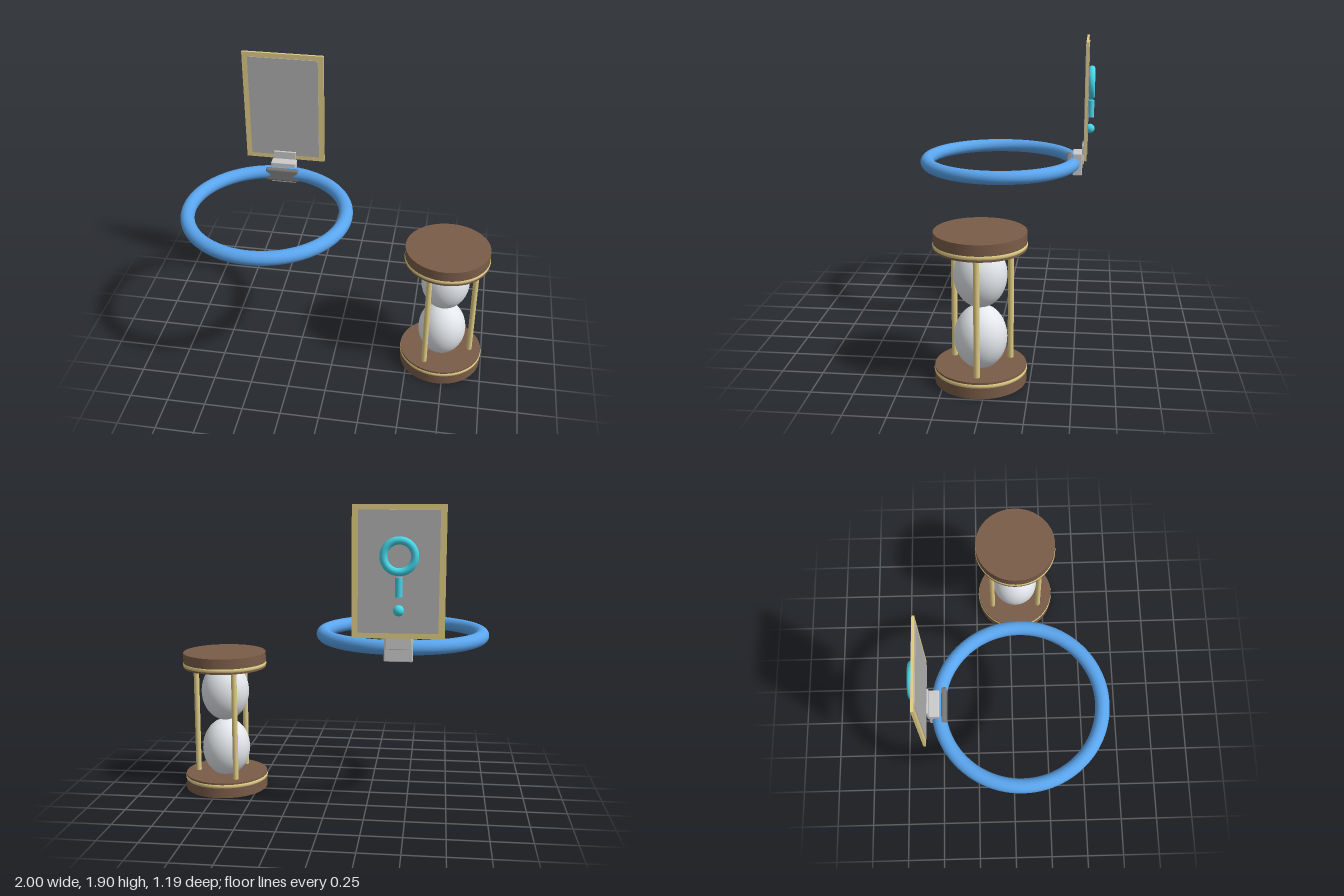
import * as THREE from 'three';
import { RoundedBoxGeometry } from 'three/addons/geometries/RoundedBoxGeometry.js';

const mat = (color) => new THREE.MeshStandardMaterial({ color });

export function createModel() {
  const wood = mat(0x7a5c48), gold = mat(0xe0cc85), glass = mat(0xe4e8ec);
  const blue = mat(0x5aa5ee), cyan = mat(0x45d8ea), grey = mat(0xcccccc);
  const panelGrey = mat(0xb0b0b0), dark = mat(0x777777);
  const root = new THREE.Group();

  const group = (name, x, y, z) => {
    const g = new THREE.Group();
    g.name = name;
    g.position.set(x, y, z);
    root.add(g);
    return g;
  };
  const add = (parent, name, geometry, material, x = 0, y = 0, z = 0) => {
    const m = new THREE.Mesh(geometry, material);
    m.name = name;
    m.position.set(x, y, z);
    parent.add(m);
    return m;
  };

  // Hourglass: two end discs with trim rings, two bulbs, three posts
  const hourglass = group('hourglass', 0.72, 0, 0.043);
  const ends = [['bottom', 0.05, 0.077, 0.27], ['top', 0.87, 0.843, 0.655]];
  for (const [name, discY, trimY, bulbY] of ends) {
    add(hourglass, name + 'Disc', new THREE.CylinderGeometry(0.271, 0.271, 0.1, 64), wood, 0, discY);
    const trim = add(hourglass, name + 'Trim', new THREE.TorusGeometry(0.255, 0.02, 16, 64), gold, 0, trimY);
    trim.rotation.x = Math.PI / 2;
    const bulb = add(hourglass, name + 'Bulb', new THREE.SphereGeometry(0.157, 40, 28), glass, 0, bulbY);
    bulb.scale.y = 1.24;
  }
  for (let i = 0; i < 3; i++) {
    const a = (i * Math.PI * 2) / 3;
    add(hourglass, 'post', new THREE.CylinderGeometry(0.018, 0.018, 0.78, 20), gold,
      0.195 * Math.cos(a), 0.46, 0.195 * Math.sin(a));
  }

  // Hoop
  const hoop = group('hoop', -0.45, 1.065, 0.043);
  add(hoop, 'hoopRing', new THREE.TorusGeometry(0.506, 0.045, 24, 96), blue).rotation.x = Math.PI / 2;

  // Clamp joining the hoop to the board
  const clamp = group('clamp', -0.45, 0, 0);
  add(clamp, 'clampBlock', new RoundedBoxGeometry(0.17, 0.15, 0.065, 2, 0.006), grey, 0, 1.065, -0.487);
  add(clamp, 'clampPlate', new RoundedBoxGeometry(0.155, 0.13, 0.014, 2, 0.004), grey, 0, 1.129, -0.523);
  add(clamp, 'clampPad', new RoundedBoxGeometry(0.228, 0.092, 0.036, 3, 0.014), dark, 0, 1.066, -0.429);

  // Upright board: border with a slightly thicker panel inside
  const board = group('board', -0.447, 1.519, -0.54);
  const outline = new THREE.Shape([[-1, -1], [1, -1], [1, 1], [-1, 1]]
    .map(([x, y]) => new THREE.Vector2(x * 0.27, y * 0.385)));
  outline.holes.push(new THREE.Path([[-1, -1], [-1, 1], [1, 1], [1, -1]]
    .map(([x, y]) => new THREE.Vector2(x * 0.232, y * 0.352))));
  add(board, 'boardBorder', new THREE.ExtrudeGeometry(outline, { depth: 0.016, bevelEnabled: false }),
    gold, 0, 0, -0.008);
  add(board, 'boardPanel', new THREE.BoxGeometry(0.466, 0.706, 0.025), panelGrey);

  // Ornament on the back of the board: ring, rod and bead
  const ornament = group('ornament', -0.45, 0, -0.57);
  add(ornament, 'ornamentRing', new THREE.TorusGeometry(0.09, 0.023, 18, 48), cyan, 0, 1.612);
  add(ornament, 'ornamentRod', new THREE.CylinderGeometry(0.021, 0.021, 0.115, 24), cyan, 0, 1.436);
  add(ornament, 'ornamentBead', new THREE.SphereGeometry(0.032, 24, 16), cyan, 0, 1.3, 0.005);

  return root;
}
